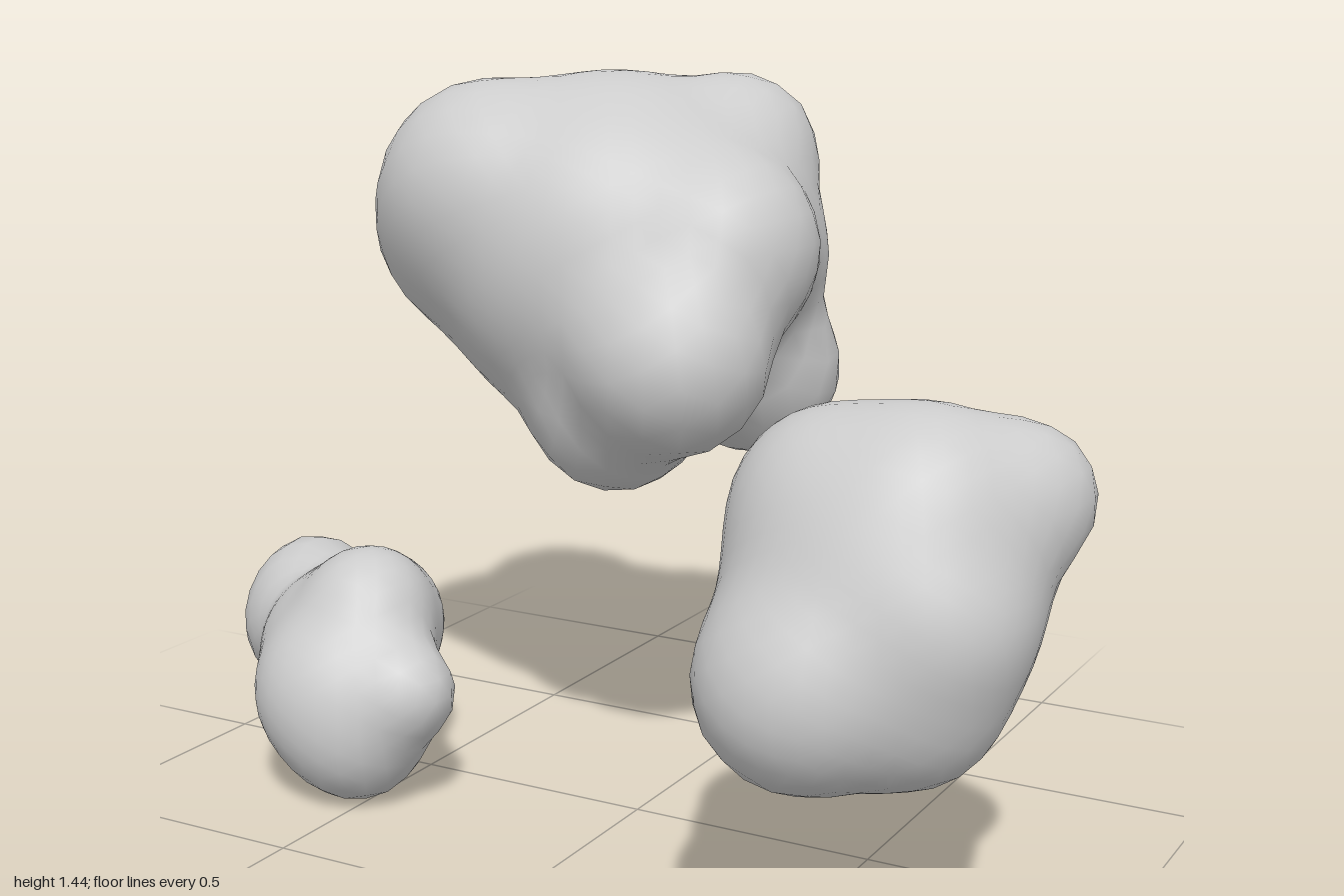
import * as THREE from 'three';
import { mergeVertices } from 'three/addons/utils/BufferGeometryUtils.js';

// Each rock is a few round lumps [x, y, z, radius] melted together; the first is its core
const LARGE = [
  [-0.22, 1.08, -0.3, 0.37], // core
  [0.04, 0.92, -0.06, 0.19], // front knob
  [-0.14, 0.79, -0.16, 0.17], // underside
  [0.07, 1.12, -0.21, 0.19], // left shoulder
  [-0.49, 1.13, -0.23, 0.22], // right shoulder
  [-0.43, 1.22, -0.15, 0.21], // front brow
  [-0.5, 1.17, -0.53, 0.19], // back right corner
  [0.01, 0.83, -0.49, 0.18], // back lower left corner
  [-0.02, 1.28, -0.46, 0.16], // top ridge
  [-0.42, 0.94, -0.45, 0.21], // back lower right
  [-0.17, 0.97, -0.53, 0.18], // back
  [0.0, 1.08, -0.42, 0.18], // left flank
];
const MIDDLE = [
  [0.67, 0.67, 0.36, 0.26], // core
  [0.74, 0.82, 0.38, 0.16], // top
  [0.87, 0.83, 0.28, 0.12], // left horn
  [0.6, 0.54, 0.53, 0.18], // front chin
  [0.75, 0.51, 0.44, 0.14], // underside
  [0.71, 0.65, 0.11, 0.13], // back knob
  [0.46, 0.5, 0.31, 0.13], // lower right knob
  [0.58, 0.8, 0.38, 0.16], // right shoulder
  [0.8, 0.65, 0.46, 0.13], // left cheek
  [0.66, 0.52, 0.2, 0.13], // back underside
];
const SMALL = [
  [-0.68, 0.25, 0.06, 0.16], // core
  [-0.85, 0.25, -0.07, 0.145], // back end
  [-0.88, 0.31, -0.12, 0.11], // back upper corner
  [-0.59, 0.22, 0.19, 0.165], // front
  [-0.56, 0.38, 0.12, 0.12], // top
  [-0.53, 0.14, 0.21, 0.125], // foot
  [-0.41, 0.25, 0.2, 0.09], // side knob
  [-0.62, 0.32, 0.01, 0.13], // back shoulder
];

const BLEND = 0.033;

// Distance from a point to the smoothly joined lumps
function distance(p, lumps) {
  let sum = 0;
  for (const [x, y, z, r] of lumps) {
    sum += Math.exp((r - Math.hypot(p.x - x, p.y - y, p.z - z)) / BLEND);
  }
  return -BLEND * Math.log(sum);
}

// Shrink a sphere around the core inwards until it rests on the lumps
function rockGeometry(lumps) {
  const sphere = new THREE.IcosahedronGeometry(1, 8);
  sphere.deleteAttribute('normal');
  sphere.deleteAttribute('uv');
  const geo = mergeVertices(sphere, 1e-4);
  const pos = geo.attributes.position;
  const core = new THREE.Vector3(...lumps[0]);
  const dir = new THREE.Vector3(), p = new THREE.Vector3();
  for (let i = 0; i < pos.count; i++) {
    dir.fromBufferAttribute(pos, i);
    p.copy(core).addScaledVector(dir, 0.9);
    for (let step = 0; step < 60; step++) {
      p.addScaledVector(dir, -distance(p, lumps));
    }
    pos.setXYZ(i, p.x, p.y, p.z);
  }
  geo.computeVertexNormals();
  return geo;
}

export function createModel() {
  const group = new THREE.Group();
  group.name = 'floatingRocks';
  const stone = new THREE.MeshStandardMaterial({ color: 0xcccccc });
  stone.name = 'greyStone';
  const rocks = { largeRock: LARGE, middleRock: MIDDLE, smallRock: SMALL };
  for (const [name, lumps] of Object.entries(rocks)) {
    const mesh = new THREE.Mesh(rockGeometry(lumps), stone);
    mesh.name = name;
    group.add(mesh);
  }
  return group;
}
